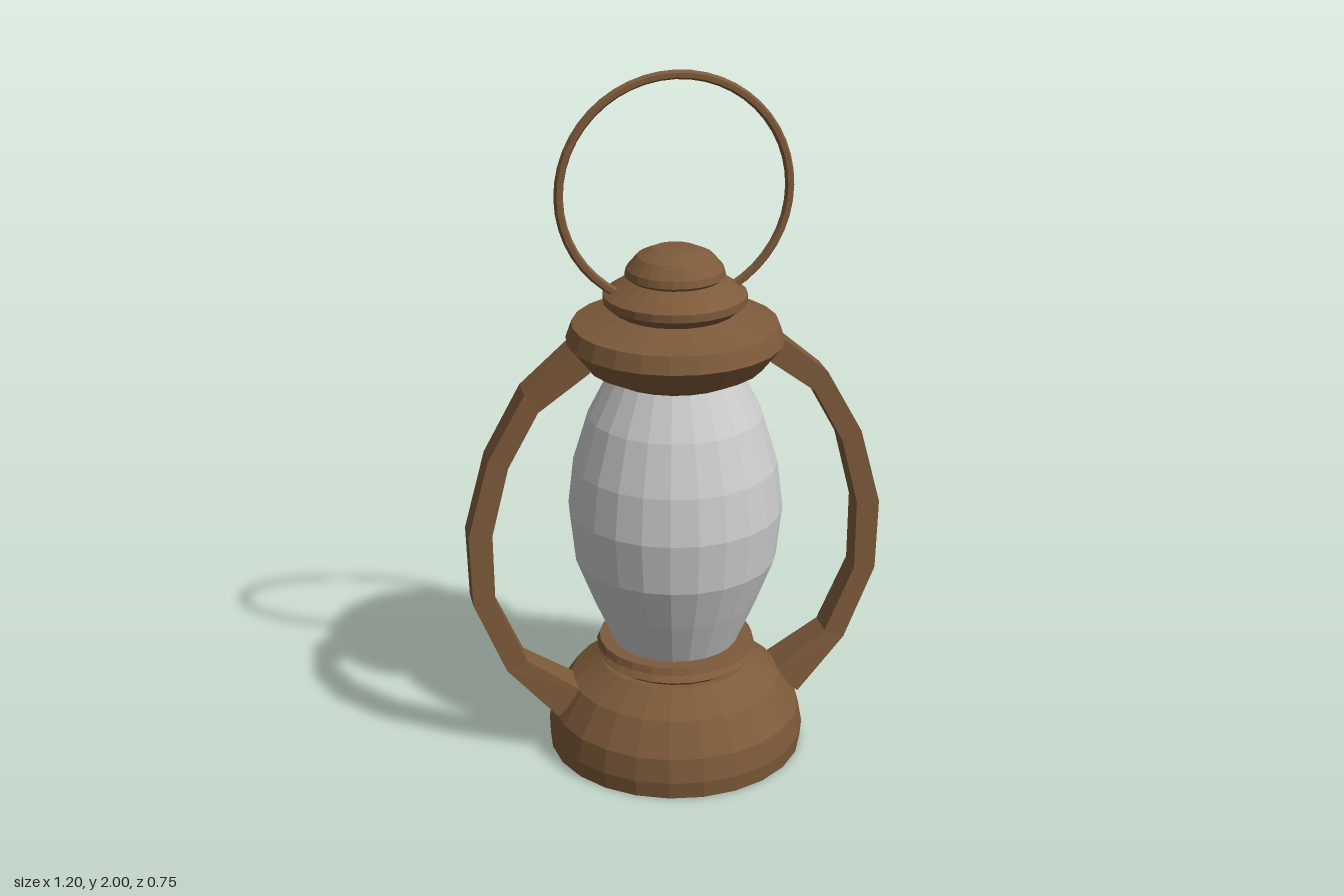
import * as THREE from 'three';

const brown = new THREE.MeshStandardMaterial({ color: 0x7d5a3a, flatShading: true });
const grey = new THREE.MeshStandardMaterial({ color: 0xcccccc, flatShading: true });

// Turned part from [radius, height] pairs, listed bottom to top
function turned(name, profile, material) {
  const points = profile.map(([r, y]) => new THREE.Vector2(r, y));
  const mesh = new THREE.Mesh(new THREE.LatheGeometry(points, 24), material);
  mesh.name = name;
  return mesh;
}

// Side arm: four-cornered sections [outer x, outer y, inner x, inner y, half depth]
function sideArm(name, side) {
  const sections = [
    [0.36, 0.13, 0.28, 0.2, 0.06],
    [0.503, 0.286, 0.444, 0.312, 0.043],
    [0.593, 0.503, 0.53, 0.508, 0.04],
    [0.599, 0.714, 0.532, 0.714, 0.04],
    [0.538, 0.94, 0.482, 0.915, 0.041],
    [0.432, 1.13, 0.395, 1.075, 0.045],
    [0.29, 1.25, 0.25, 1.185, 0.058],
  ];
  const positions = [];
  const index = [];
  const quad = (a, b, c, d) => {
    if (side > 0) index.push(a, b, c, a, c, d);
    else index.push(a, c, b, a, d, c);
  };
  sections.forEach(([ox, oy, ix, iy, h], i) => {
    const front = h - 0.004, back = -h - 0.004;
    positions.push(side * ox, oy, front, side * ox, oy, back);
    positions.push(side * ix, iy, back, side * ix, iy, front);
    if (i === 0) return;
    const lower = (i - 1) * 4, upper = i * 4;
    for (let k = 0; k < 4; k++) {
      const n = (k + 1) % 4;
      quad(lower + k, lower + n, upper + n, upper + k);
    }
  });
  // End faces
  const last = (sections.length - 1) * 4;
  quad(0, 3, 2, 1);
  quad(last, last + 1, last + 2, last + 3);

  const geometry = new THREE.BufferGeometry();
  geometry.setAttribute('position', new THREE.Float32BufferAttribute(positions, 3));
  geometry.setIndex(index);
  geometry.computeVertexNormals();
  const mesh = new THREE.Mesh(geometry, brown);
  mesh.name = name;
  return mesh;
}

export function createModel() {
  const lantern = new THREE.Group();
  lantern.name = 'lantern';

  // Fuel base and the collar that seats the glass
  lantern.add(turned('base', [
    [0, 0], [0.37, 0], [0.375, 0.05], [0.363, 0.12], [0.305, 0.21], [0.22, 0.27], [0, 0.28],
  ], brown));
  lantern.add(turned('collar', [
    [0, 0.265], [0.2, 0.27], [0.228, 0.29], [0.212, 0.305], [0.23, 0.315], [0.222, 0.335], [0, 0.335],
  ], brown));

  // Bulging glass chimney
  lantern.add(turned('glass', [
    [0.178, 0.325], [0.24, 0.47], [0.29, 0.6], [0.306, 0.75], [0.29, 0.885], [0.246, 1.03], [0.18, 1.16],
  ], grey));

  // Cap, stepped ring and knob
  lantern.add(turned('cap', [
    [0, 1.15], [0.19, 1.15], [0.25, 1.18], [0.305, 1.25], [0.288, 1.298], [0.15, 1.335], [0, 1.34],
  ], brown));
  lantern.add(turned('capRing', [
    [0.14, 1.32], [0.17, 1.335], [0.2, 1.36], [0.2, 1.382], [0.165, 1.405], [0.13, 1.425], [0, 1.43],
  ], brown));
  lantern.add(turned('knob', [
    [0.12, 1.42], [0.14, 1.435], [0.135, 1.455], [0.105, 1.49], [0.06, 1.51], [0, 1.514],
  ], brown));

  // Side arms joining base and cap
  lantern.add(sideArm('leftArm', 1), sideArm('rightArm', -1));

  // Carrying ring, its lowest part sunk into the cap
  const ring = new THREE.Mesh(new THREE.TorusGeometry(0.32, 0.013, 6, 48), brown);
  ring.name = 'carryingRing';
  ring.position.y = 1.667;
  lantern.add(ring);

  return lantern;
}
